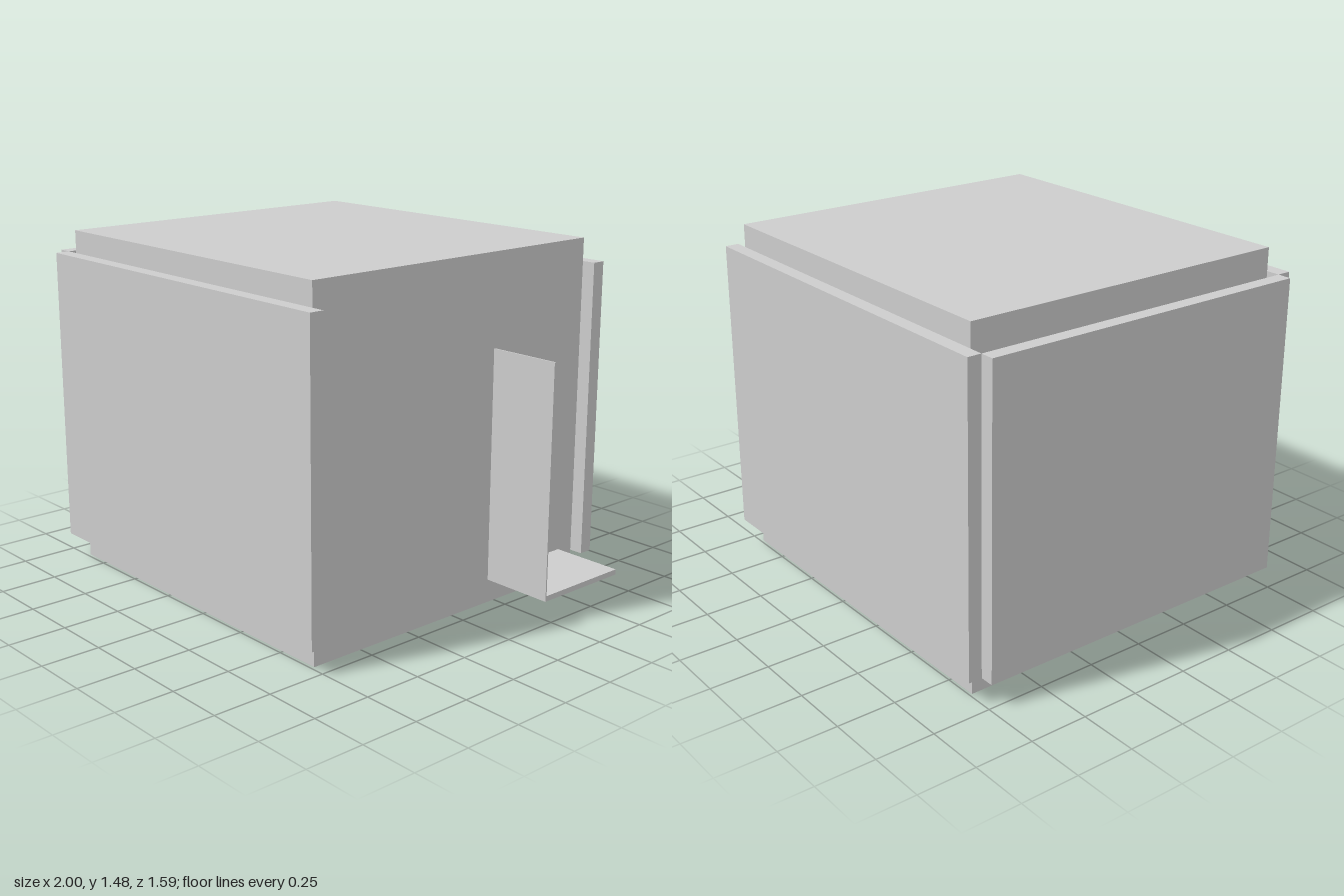
import * as THREE from 'three';

export function createModel() {
  const model = new THREE.Group();
  const lightGrey = new THREE.MeshStandardMaterial({ color: 0xcccccc });
  lightGrey.name = 'lightGrey';

  // Box given by its limits along each axis
  function block(name, [x0, x1], [y0, y1], [z0, z1]) {
    const mesh = new THREE.Mesh(new THREE.BoxGeometry(x1 - x0, y1 - y0, z1 - z0), lightGrey);
    mesh.name = name;
    mesh.position.set((x0 + x1) / 2, (y0 + y1) / 2, (z0 + z1) / 2);
    model.add(mesh);
  }

  // Main cabin
  block('body', [-0.88, 0.685], [0, 1.475], [-0.738, 0.735]);

  // Cladding panels on three sides
  const panelY = [0.1, 1.377];
  block('frontPanel', [-0.94, 0.745], panelY, [0.735, 0.797]);
  block('backPanel', [-0.94, 0.745], panelY, [-0.797, -0.738]);
  block('sidePanel', [-1, -0.94], panelY, [-0.738, 0.735]);

  // Open door and its step
  block('door', [0.685, 1], [0.1, 1.085], [-0.217, -0.211]);
  block('step', [0.685, 1], [0.1, 0.123], [-0.655, -0.211]);

  // Fittings in the gap behind the side panel
  const fittings = [[-0.63, -0.48], [-0.48, -0.39], [0.525, 0.735]];
  fittings.forEach((z, i) => block(`wallFitting${i + 1}`, [-0.92, -0.88], [0.3, 1.1], z));

  return model;
}
